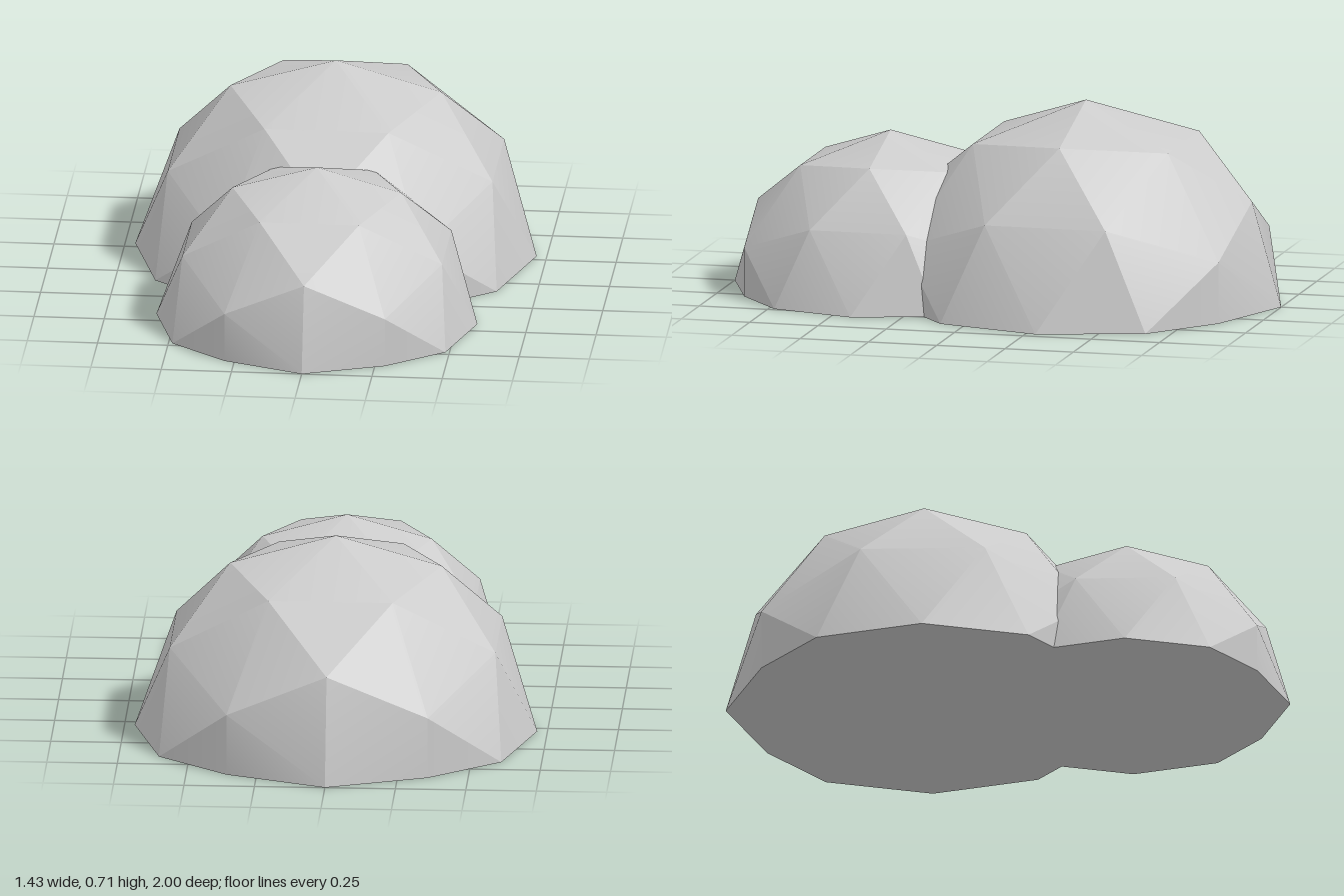
import * as THREE from 'three';
import { toCreasedNormals } from 'three/addons/utils/BufferGeometryUtils.js';

const material = new THREE.MeshStandardMaterial({ color: 0xcccccc });

// Faceted half ball with a flat underside, resting on y = 0
function createDome(name, radius, z) {
  const geometry = new THREE.IcosahedronGeometry(radius, 1);
  const position = geometry.attributes.position;
  for (let i = 0; i < position.count; i++) {
    // Press the lower half flat to form the base
    position.setY(i, Math.max(0, position.getY(i)));
  }
  // Soft shading inside each large facet, sharp edges between them
  const dome = new THREE.Mesh(toCreasedNormals(geometry, THREE.MathUtils.degToRad(20)), material);
  dome.name = name;
  dome.position.z = z;
  return dome;
}

export function createModel() {
  const model = new THREE.Group();
  model.name = 'twinDomeMound';
  model.add(
    createDome('largeRearDome', 0.714, -0.286),
    createDome('smallFrontDome', 0.571, 0.429),
  );
  return model;
}
